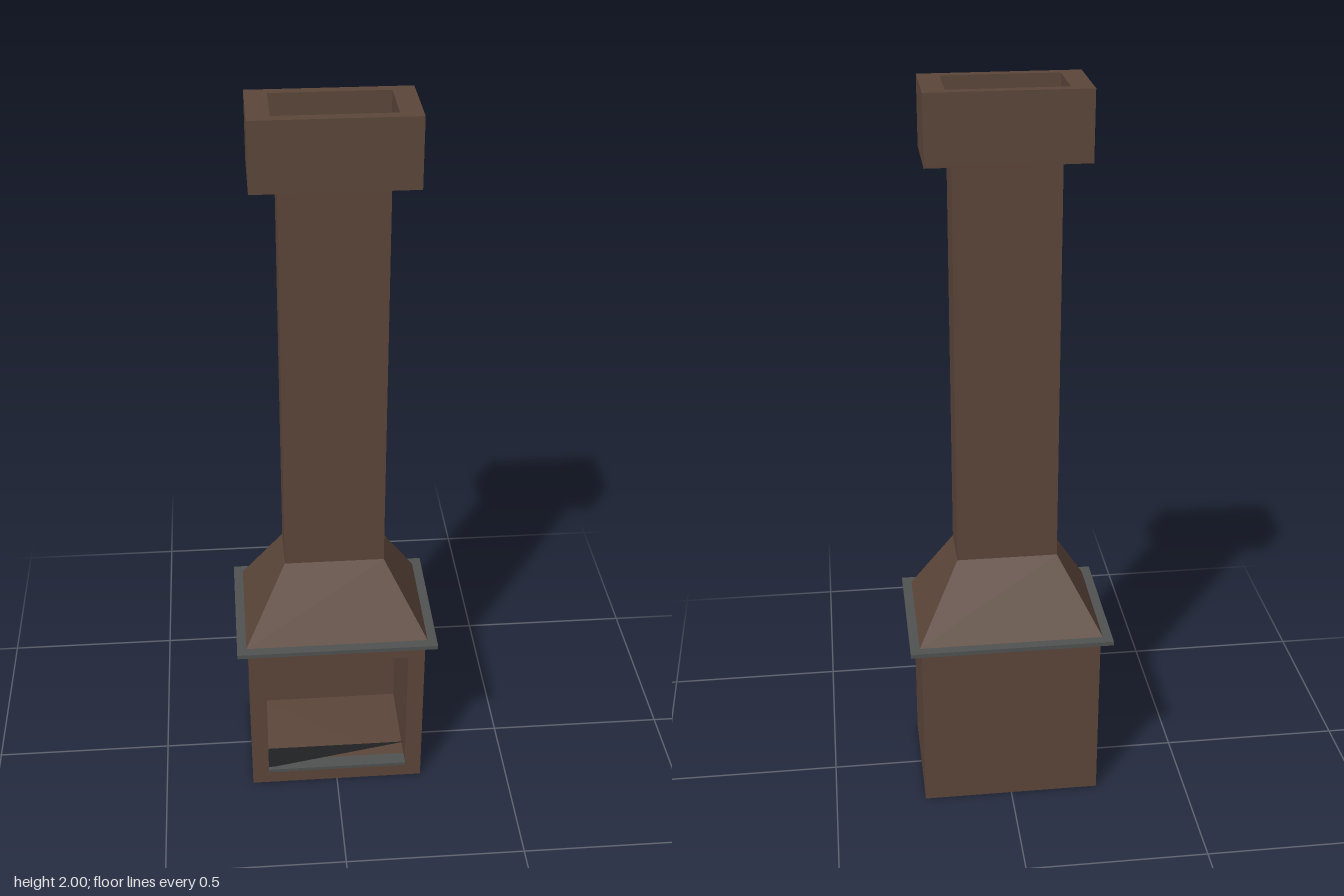
import * as THREE from 'three';

const brown = new THREE.MeshStandardMaterial({ color: 0x5c463a });
brown.name = 'brown masonry';
const grey = new THREE.MeshStandardMaterial({ color: 0x505151 });
grey.name = 'grey slate';
const soot = new THREE.MeshStandardMaterial({ color: 0x26282a, side: THREE.DoubleSide });
soot.name = 'soot black';

function addMesh(group, name, geometry, material) {
  const mesh = new THREE.Mesh(geometry, material);
  mesh.name = name;
  group.add(mesh);
  return mesh;
}

// Box given by its size and by its lowest y
function addBox(group, name, [w, h, d], y, z, material) {
  const mesh = addMesh(group, name, new THREE.BoxGeometry(w, h, d), material);
  mesh.position.set(0, y + h / 2, z);
  return mesh;
}

function rectPath(path, x0, y0, x1, y1) {
  path.moveTo(x0, y0);
  path.lineTo(x1, y0);
  path.lineTo(x1, y1);
  path.lineTo(x0, y1);
  path.closePath();
  return path;
}

// Rectangular frame extruded along z
function frame(outer, inner, depth) {
  const shape = rectPath(new THREE.Shape(), ...outer);
  shape.holes.push(rectPath(new THREE.Path(), ...inner));
  return new THREE.ExtrudeGeometry(shape, { depth, bevelEnabled: false });
}

export function createModel() {
  const model = new THREE.Group();
  model.name = 'fireplace';

  // Firebox: open-fronted surround closed by a back wall
  const firebox = new THREE.Group();
  firebox.name = 'firebox';
  model.add(firebox);
  const surround = frame([-0.247, 0, 0.247, 0.5], [-0.2, 0.05, 0.2, 0.45], 0.3);
  addMesh(firebox, 'fireboxSurround', surround, brown).position.z = -0.125;
  addBox(firebox, 'fireboxBack', [0.494, 0.5, 0.05], 0, -0.15, brown);

  // Hearth strip and the dark guard across the lower opening
  addBox(firebox, 'hearthStrip', [0.4, 0.01, 0.04], 0.048, 0.165, grey);
  const guard = new THREE.Shape();
  guard.moveTo(-0.2, 0.055);
  guard.lineTo(0.2, 0.13);
  guard.lineTo(-0.2, 0.13);
  guard.closePath();
  addMesh(firebox, 'fireGuard', new THREE.ShapeGeometry(guard), soot).position.z = 0.173;

  // Mantel slab
  addBox(model, 'mantel', [0.556, 0.012, 0.41], 0.5, 0, grey);

  // Hood: a box whose top is drawn in to meet the flue
  const hood = new THREE.BoxGeometry(0.504, 0.208, 0.356);
  const p = hood.attributes.position;
  for (let i = 0; i < p.count; i++) {
    if (p.getY(i) > 0) {
      p.setX(i, Math.sign(p.getX(i)) * 0.137);
      p.setZ(i, Math.sign(p.getZ(i)) * 0.071);
    }
  }
  hood.computeVertexNormals();
  addMesh(model, 'hood', hood, brown).position.y = 0.616;

  // Flue
  addBox(model, 'flue', [0.274, 1.11, 0.142], 0.72, 0, brown);

  // Chimney cap: closed base and hollow rim
  addBox(model, 'capBase', [0.412, 0.01, 0.212], 1.82, 0, brown);
  const rim = frame([-0.206, -0.106, 0.206, 0.106], [-0.15, -0.078, 0.15, 0.078], 0.17);
  rim.rotateX(-Math.PI / 2);
  addMesh(model, 'capRim', rim, brown).position.y = 1.83;

  return model;
}
